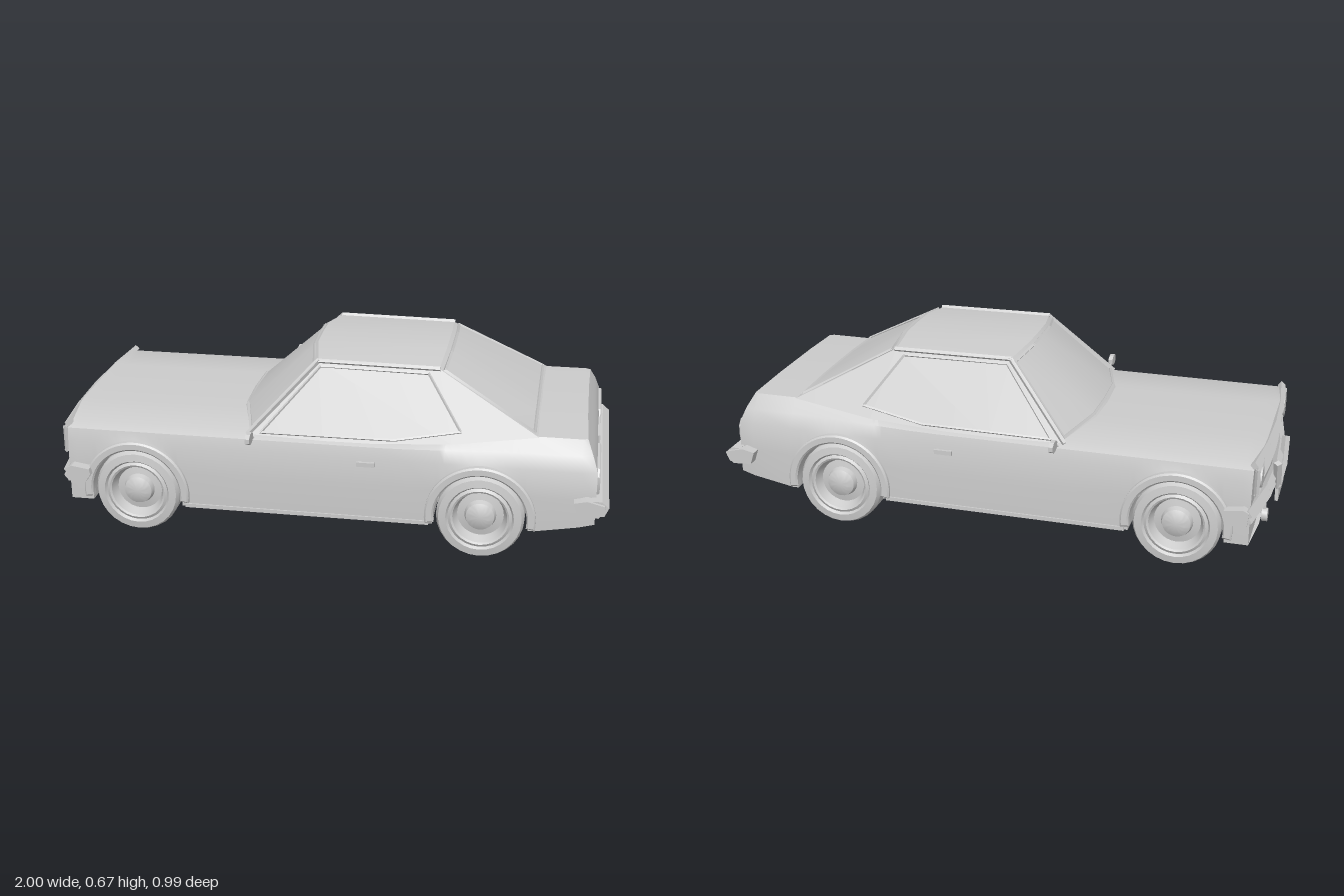
import * as THREE from 'three';
import { mergeGeometries, toCreasedNormals } from 'three/addons/utils/BufferGeometryUtils.js';

const material = new THREE.MeshStandardMaterial({ color: 0xcccccc, side: THREE.DoubleSide });
const V = (x, y, z) => new THREE.Vector3(x, y, z);

function mesh(name, geo, crease = 0.5) {
  const m = new THREE.Mesh(toCreasedNormals(geo, crease), material);
  m.name = name;
  return m;
}

// Skin over rows of points
function grid(rows) {
  const n = rows[0].length, index = [];
  for (let i = 0; i < rows.length - 1; i++)
    for (let j = 0; j < n - 1; j++) {
      const a = i * n + j, b = a + n;
      index.push(a, a + 1, b, b, a + 1, b + 1);
    }
  const geo = new THREE.BufferGeometry().setFromPoints(rows.flat());
  geo.setIndex(index);
  return geo.toNonIndexed();
}

// Square bar between two points
function bar(a, b, r) {
  const d = b.clone().sub(a);
  const geo = new THREE.CylinderGeometry(r, r, d.length() + r, 4);
  geo.applyQuaternion(new THREE.Quaternion().setFromUnitVectors(V(0, 1, 0), d.normalize()));
  const c = a.clone().add(b).multiplyScalar(0.5);
  return geo.translate(c.x, c.y, c.z);
}
const bars = (pts, r, closed = true) => mergeGeometries(
  pts.slice(0, closed ? undefined : -1).map((p, i) => bar(p, pts[(i + 1) % pts.length], r)));

const box = (w, h, d, x, y, z) => new THREE.BoxGeometry(w, h, d).translate(x, y, z);

// Prism with an x-y outline, spanning z0 to z1
function prism(outline, z0, z1) {
  const shape = new THREE.Shape(outline.map(p => new THREE.Vector2(...p)));
  return new THREE.ExtrudeGeometry(shape, { depth: z1 - z0, bevelEnabled: false }).translate(0, 0, z0);
}

const AXLES = [[-0.68, 0.165], [0.56, 0.157]];
const ARCH = 0.167;

// Cross-section of the lower body at x, with arch height ya
function section(x, ya) {
  const t = THREE.MathUtils.smoothstep(x, 0.2, 0.72), mix = (a, b) => a + (b - a) * t;
  const yb = x > 0.75 ? 0.12 + (x - 0.75) * 0.18 : 0.12;
  ya = Math.max(ya, yb);
  const taper = x > 0.9 ? 0.975 : 1;
  const half = [[yb, 0.25], [ya, 0.25], [ya, 0.428], [Math.max(0.25, ya + 0.002), 0.43], [0.35, 0.422],
    [mix(0.39, 0.4), mix(0.412, 0.398)], [mix(0.408, 0.447), mix(0.375, 0.355)], [mix(0.42, 0.455), mix(0.18, 0.15)]];
  const place = (y, z) => {
    let px = x;
    if (x < -0.9) px -= 0.022 * (1 - (z / 0.43) ** 2);
    if (x > 0.94) px -= Math.max(0, y - 0.36) * 0.45;
    return V(px, y, z * taper);
  };
  const left = half.map(([y, z]) => place(y, z));
  const right = half.map(([y, z]) => place(y, -z));
  return { ring: [...left, ...right.slice().reverse(), left[0]], cap: left.map((p, i) => [p, right[i]]) };
}

function lowerBody() {
  const stations = [[-0.93, 0], [-0.9, 0]];
  AXLES.forEach(([cx, cy], k) => {
    stations.push([cx - ARCH, 0]);
    for (let i = 0; i <= 14; i++) {
      const a = Math.PI * i / 14;
      stations.push([cx - ARCH * Math.cos(a), cy + ARCH * Math.sin(a)]);
    }
    stations.push([cx + ARCH, 0]);
    if (!k) stations.push([-0.3, 0], [0, 0], [0.2, 0], [0.3, 0]);
  });
  stations.push([0.75, 0], [0.9, 0], [0.955, 0]);
  const s = stations.map(p => section(...p));
  const front = grid(s[0].cap), rear = grid(s[s.length - 1].cap.map(r => r.slice().reverse()));
  return mergeGeometries([grid(s.map(p => p.ring)), front, rear]);
}

// Cabin lines from windscreen base to rear window base: [xCentre, xEdge, yCentre, yEdge, zEdge]
const CABIN = [[-0.34, -0.27, 0.418, 0.4, 0.39], [-0.07, -0.04, 0.665, 0.645, 0.262],
  [0.4, 0.39, 0.662, 0.64, 0.262], [0.75, 0.75, 0.452, 0.445, 0.36]];
const across = (row, u) => {
  const [xc, xe, yc, ye, ze] = row, k = Math.abs(u) < 0.5 ? u * u * 0.4 : u * u;
  return V(xc + (xe - xc) * k, yc + (ye - yc) * k, ze * u);
};
const COLS = [-1, -0.42, 0, 0.42, 1];

function cabin() {
  const parts = [grid(CABIN.map(r => COLS.map(u => across(r, u))))];
  for (const s of [1, -1]) {
    const top = CABIN.map(r => across(r, s));
    const low = [top[0], V(0, 0.39, 0.402 * s), V(0.45, 0.41, 0.388 * s), top[3]];
    parts.push(grid(s > 0 ? [low, top] : [top, low]));
  }
  return mergeGeometries(parts);
}

// Trim around a sloping window between two cabin lines
function windowTrim(a, b, t0, t1, w) {
  const line = t => COLS.map(u => across(a, u * w).lerp(across(b, u * w), t));
  return bars([...line(t0), ...line(t1).reverse()], 0.007);
}

function wheel(s) {
  const profile = [[0, -0.085], [0.142, -0.085], [0.155, -0.07], [0.155, 0.066], [0.146, 0.084], [0.12, 0.088],
    [0.113, 0.078], [0.103, 0.084], [0.096, 0.08], [0.082, 0.045], [0.056, 0.05], [0.05, 0.07], [0.03, 0.08], [0, 0.083]];
  const geo = new THREE.LatheGeometry(profile.map(p => new THREE.Vector2(...p)), 28);
  return geo.rotateX(s * Math.PI / 2);
}

// Flared lip around a wheel arch
function flare(cx, cy, s) {
  const shape = new THREE.Shape();
  shape.absarc(0, 0, 0.195, -0.15, Math.PI + 0.15, false);
  shape.absarc(0, 0, 0.163, Math.PI + 0.15, -0.15, true);
  const geo = new THREE.ExtrudeGeometry(shape, { depth: 0.024, curveSegments: 16,
    bevelSize: 0.006, bevelThickness: 0.006, bevelOffset: -0.006, bevelSegments: 1 });
  return geo.translate(cx, cy, s > 0 ? 0.416 : -0.44);
}

export function createModel() {
  const group = new THREE.Group();
  const car = new THREE.Group();
  car.name = 'car';
  group.add(car);
  const add = (name, geo, crease) => car.add(mesh(name, geo, crease));

  add('lowerBody', lowerBody(), 0.6);
  add('cabin', cabin(), 0.3);
  add('windscreenTrim', windowTrim(CABIN[0], CABIN[1], 0.05, 0.95, 0.96));
  add('rearWindowTrim', windowTrim(CABIN[2], CABIN[3], 0.05, 0.95, 0.95));

  for (const s of [1, -1]) {
    // Side glass trim and roof gutter
    const side = [[-0.225, 0.412], [-0.03, 0.628], [0.355, 0.624], [0.48, 0.452], [0.25, 0.414]];
    add('sideWindowTrim', bars(side.map(([x, y]) => V(x, y, s * (0.4 - (y - 0.4) * 0.565))), 0.005));
    add('roofGutter', bars([V(-0.27, 0.405, 0.392 * s), V(-0.04, 0.645, 0.264 * s), V(0.39, 0.64, 0.264 * s)], 0.009, false));

    AXLES.forEach(([x, y], i) => {
      const w = mesh(i ? 'rearWheel' : 'frontWheel', wheel(s), 0.4);
      w.position.set(x, y, 0.35 * s);
      car.add(w);
      add(i ? 'rearArch' : 'frontArch', flare(x, y, s));
    });

    add('sill', box(0.88, 0.014, 0.012, -0.06, 0.124, 0.428 * s));
    add('doorHandle', mergeGeometries([box(0.065, 0.016, 0.01, 0.157, 0.335, 0.438 * s),
      box(0.012, 0.01, 0.02, 0.135, 0.335, 0.426 * s), box(0.012, 0.01, 0.02, 0.18, 0.335, 0.426 * s)]));

    // Mirror: octagonal head on a thin stalk
    const head = new THREE.CylinderGeometry(0.025, 0.025, 0.016, 8).rotateY(Math.PI / 8)
      .rotateZ(Math.PI / 2).scale(1, 0.82, 1.35).translate(-0.25, 0.418, 0.466 * s);
    add('mirror', mergeGeometries([head, bar(V(-0.25, 0.392, 0.395 * s), V(-0.25, 0.41, 0.445 * s), 0.005)]));

    // Tail light: wide panel with clipped outer corners
    const lamp = new THREE.Shape([[0.145, 0.29], [0.165, 0.268], [0.395, 0.268], [0.403, 0.29], [0.403, 0.33],
      [0.385, 0.352], [0.165, 0.352], [0.145, 0.325]].map(([z, y]) => new THREE.Vector2(-z * s, y)));
    add('tailLight', new THREE.ExtrudeGeometry(lamp, { depth: 0.016, bevelSize: 0.004, bevelThickness: 0.004, bevelSegments: 1 })
      .rotateY(Math.PI / 2).translate(0.945, 0, 0));

    // Bumper ends wrapping the corners
    const z = [0.425, 0.467], [z0, z1] = s > 0 ? z : [-z[1], -z[0]];
    add('rearBumperEnd', prism([[0.88, 0.255], [0.925, 0.265], [0.985, 0.25], [0.99, 0.235], [0.965, 0.205], [0.895, 0.21]], z0, z1));
    add('frontBumperEnd', prism([[-0.93, 0.255], [-0.91, 0.265], [-0.845, 0.255], [-0.84, 0.235], [-0.86, 0.205], [-0.925, 0.205]], z0, z1));

    // Headlight in a square surround, and the lamp under the bumper
    const light = r => new THREE.CylinderGeometry(r, r, 0.02, 20).rotateZ(Math.PI / 2);
    add('headlight', light(0.036).translate(-0.946, 0.342, 0.345 * s));
    add('headlightSurround', bars([[0.295, 0.3], [0.405, 0.3], [0.405, 0.388], [0.295, 0.388]]
      .map(([d, y]) => V(-0.944, y, d * s)), 0.009));
    add('fogLight', light(0.024).translate(-0.962, 0.155, 0.24 * s));
    add('fogLightBracket', box(0.02, 0.05, 0.012, -0.955, 0.185, 0.24 * s));
  }

  // Grille bars and hood lip, bowed like the nose
  const bow = (y, w, x, d) => [-1, -0.5, 0, 0.5, 1].map(u => V(x - d * (1 - u * u), y, w * u));
  for (const y of [0.305, 0.33, 0.355, 0.38]) add('grilleBar', bars(bow(y, 0.29, -0.943, 0.013), 0.007, false));
  add('hoodLip', bars(bow(0.405, 0.4, -0.932, 0.025), 0.014, false));

  // Front bumper with a plate frame
  add('frontBumper', mergeGeometries([0.222, 0.245].map(y => bars(bow(y, 0.45, -0.925, 0.045), 0.018, false))));
  add('plateFrame', bars([[-0.13, 0.3], [-0.1, 0.21], [0.1, 0.21], [0.13, 0.3]].map(([z, y]) => V(-0.985, y, z)), 0.015, false));
  add('frontPlate', box(0.012, 0.06, 0.19, -0.985, 0.175, 0));

  // Rear bumper and plate
  add('rearBumper', prism([[0.94, 0.262], [0.975, 0.262], [1, 0.24], [0.985, 0.207], [0.94, 0.207]], -0.455, 0.455));
  add('rearPlate', box(0.014, 0.034, 0.18, 0.955, 0.338, 0));

  // Slight lean on the suspension
  car.rotation.x = 0.016;
  car.position.y = 0.003;
  return group;
}
